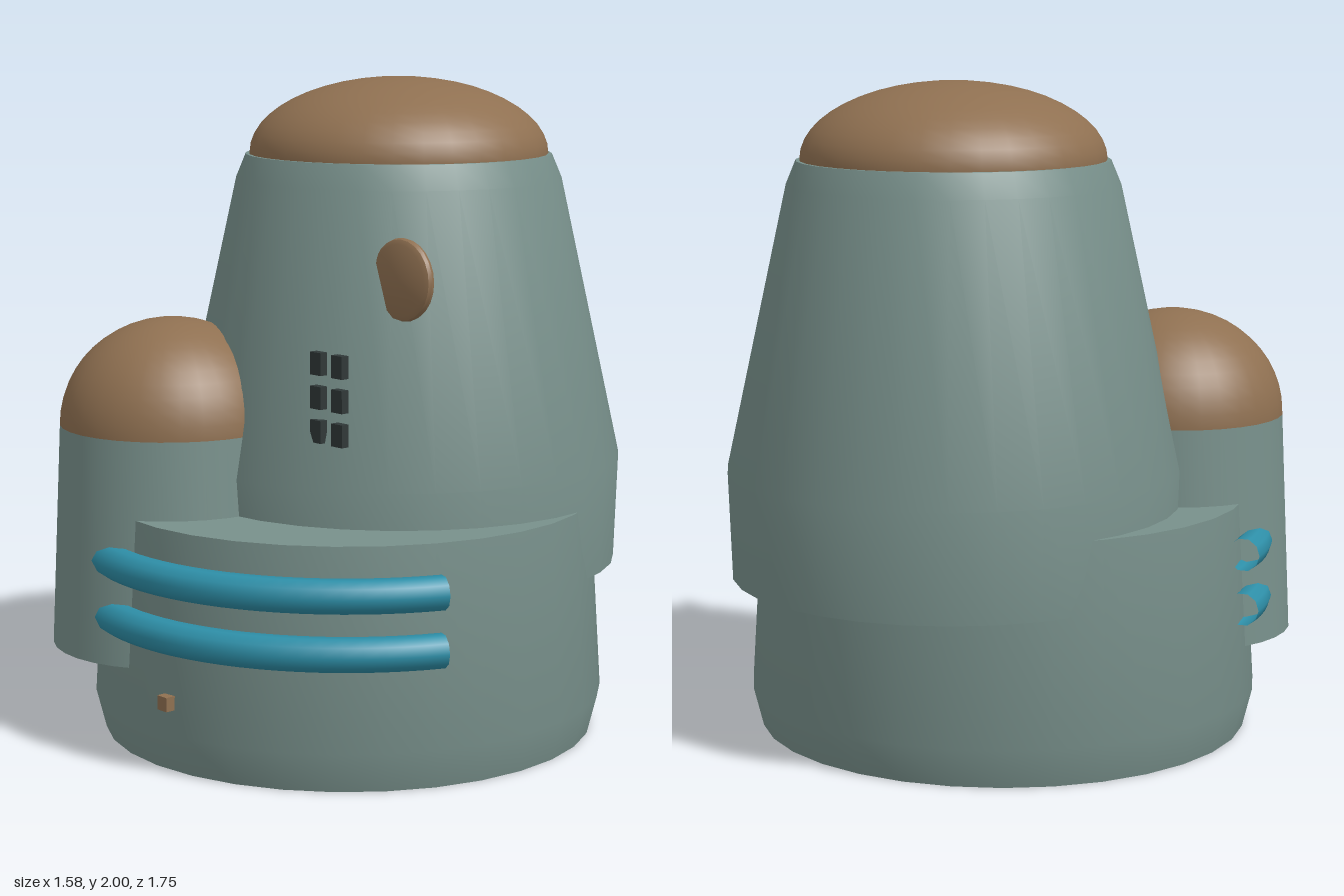
import * as THREE from 'three';
import { toCreasedNormals } from 'three/addons/utils/BufferGeometryUtils.js';

const flat = (name, color) => {
  const m = new THREE.MeshStandardMaterial({ color });
  m.name = name;
  return m;
};

export function createModel() {
  const group = new THREE.Group();
  const wall = flat('greyGreenWall', 0x78908b);
  const brown = flat('brownRoof', 0x8f7051);
  const teal = flat('tealBand', 0x2e8fa8);
  const dark = flat('darkWindow', 0x303838);

  const add = (name, geometry, material, x = 0, y = 0, z = 0) => {
    const mesh = new THREE.Mesh(geometry, material);
    mesh.name = name;
    mesh.position.set(x, y, z);
    group.add(mesh);
    return mesh;
  };

  // Turned solid from [radius, height] pairs, listed bottom to top
  const turned = (pairs, segments = 32) => toCreasedNormals(
    new THREE.LatheGeometry(pairs.map(([r, y]) => new THREE.Vector2(r, y)), segments), 0.6);

  // Elliptical dome, open underneath
  const dome = (r, h) => new THREE.SphereGeometry(1, 32, 12, 0, Math.PI * 2, 0, Math.PI / 2).scale(r, h, r);

  const baseZ = 0.034, towerZ = -0.177;

  // Round base with a chamfered foot
  add('base', turned([[0, 0], [0.76, 0], [0.79, 0.12], [0.752, 0.72], [0, 0.72]]), wall, 0, 0, baseZ);

  // Tall tower overhanging the back of the base
  add('tower', turned([[0, 0.5], [0.683, 0.5], [0.694, 0.83], [0.505, 1.69], [0.474, 1.765], [0, 1.765]]),
    wall, 0, 0, towerZ);
  add('towerDome', dome(0.463, 0.235), brown, 0, 1.765, towerZ);

  // Side turret
  add('turret', turned([[0, 0.275], [0.378, 0.275], [0.346, 0.955], [0, 0.955]]), wall, -0.31, 0, 0.477);
  add('turretDome', dome(0.346, 0.325), brown, -0.31, 0.955, 0.477);

  // Two open-ended pipes around the front
  const start = 0.38;
  teal.side = THREE.DoubleSide;
  for (const y of [0.415, 0.585]) {
    const pipe = new THREE.TorusGeometry(0.79, 0.051, 10, 32, Math.PI - 2 * start)
      .rotateZ(start).rotateX(Math.PI / 2);
    add('pipeBand', pipe, teal, 0, y, baseZ);
  }

  // Upright disc with a rounded rim
  const disc = turned([[0, -0.019], [0.105, -0.019], [0.118, -0.011], [0.122, 0],
    [0.118, 0.011], [0.105, 0.019], [0, 0.019]], 24);
  add('sideDisc', disc, brown, 0.449, 1.443, 0.222).rotation.x = Math.PI / 2;

  // Window panes, two columns of three
  for (const x of [0.29, 0.383]) {
    for (const y of [1.0, 1.1, 1.2]) {
      add('window', new THREE.BoxGeometry(0.046, 0.067, 0.026), dark, x, y, 0.409);
    }
  }

  // Small knob low on the base
  add('knob', new THREE.BoxGeometry(0.042, 0.043, 0.04), brown, 0.083, 0.216, 0.818);

  return group;
}
